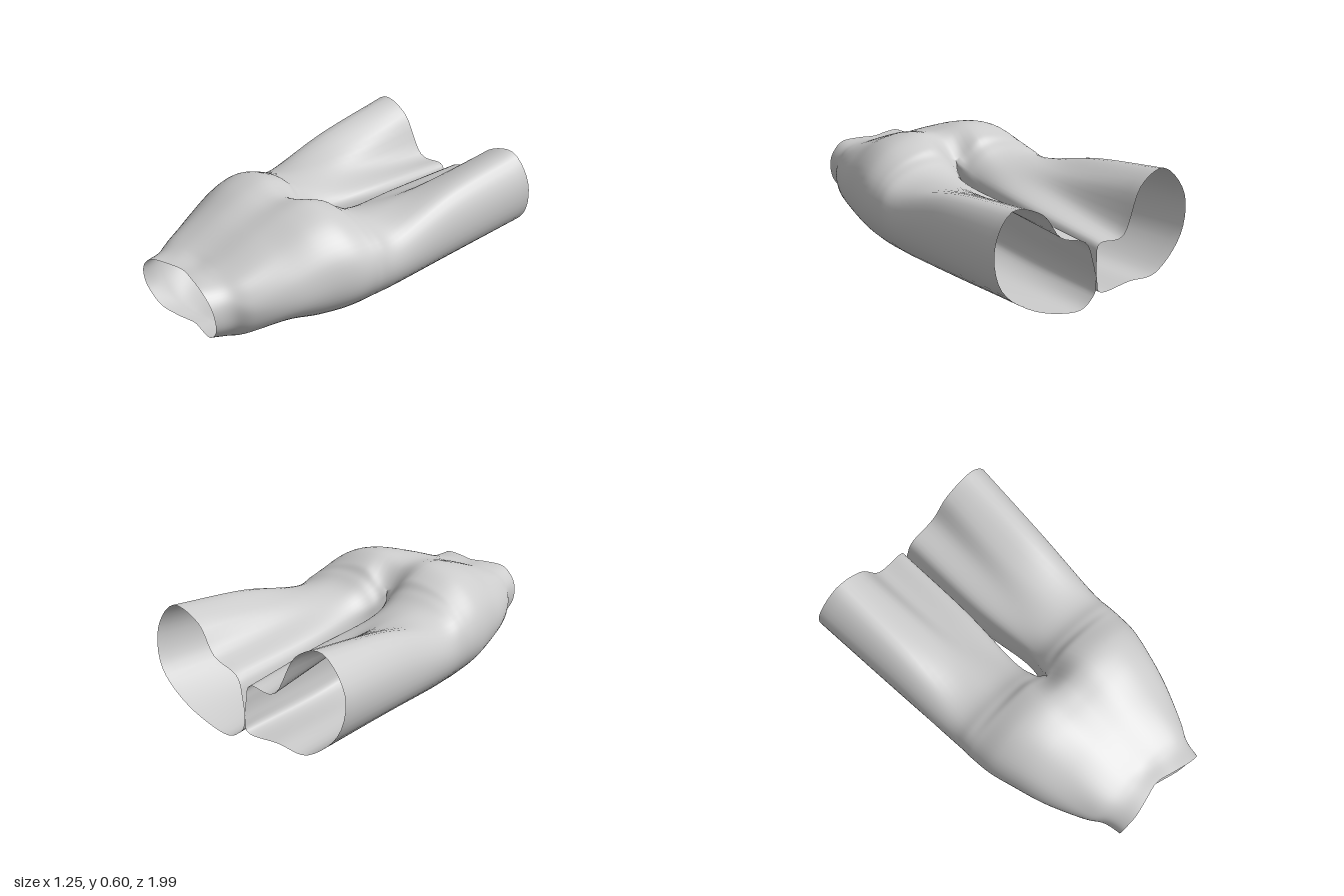
import * as THREE from 'three';
import { mergeGeometries, mergeVertices } from 'three/addons/utils/BufferGeometryUtils.js';

// Cross-sections of one half: z, bow or tilt, then 9 points from top centre over
// the outer side to bottom centre. Legs add 2 points up the inner wall.
const waistToCrotch = [
  { z: 1.0, bow: 1, p: [[0, .405], [.1, .407], [.2, .395], [.27, .33], [.29, .25], [.27, .17], [.2, .1], [.1, .072], [0, .065]] },
  { z: .9, bow: .7, p: [[0, .41], [.12, .415], [.23, .39], [.295, .33], [.31, .25], [.29, .16], [.22, .08], [.11, .05], [0, .042]] },
  { z: .8, bow: .3, p: [[0, .44], [.15, .44], [.28, .41], [.35, .33], [.37, .25], [.34, .15], [.25, .07], [.13, .035], [0, .035]] },
  { z: .6, p: [[0, .515], [.16, .52], [.31, .48], [.42, .39], [.46, .28], [.43, .18], [.32, .1], [.16, .065], [0, .06]] },
  { z: .42, p: [[0, .565], [.17, .585], [.34, .55], [.47, .44], [.515, .3], [.48, .17], [.36, .07], [.18, .05], [0, .055]] },
  { z: .28, p: [[0, .565], [.17, .605], [.36, .565], [.5, .45], [.55, .31], [.515, .17], [.37, .045], [.18, .04], [0, .07]] },
  { z: .16, p: [[0, .46], [.15, .56], [.35, .535], [.5, .44], [.56, .31], [.525, .17], [.37, .03], [.18, .05], [0, .1], [0, .2], [0, .33]] },
];
const groin = { z: .09, p: [[.035, .41], [.15, .505], [.34, .505], [.5, .43], [.56, .305], [.525, .165], [.37, .03], [.18, .045], [.05, .105], [.03, .19], [.028, .32]] };
const leftLeg = [
  groin,
  { z: -.06, p: [[.07, .37], [.16, .44], [.32, .468], [.49, .42], [.565, .3], [.53, .16], [.37, .03], [.18, .04], [.07, .11], [.052, .18], [.052, .28]] },
  { z: -.45, tilt: .03, p: [[.055, .355], [.19, .415], [.31, .49], [.49, .525], [.585, .39], [.56, .2], [.38, .045], [.17, .015], [.04, .06], [.008, .14], [.02, .25]] },
  { z: -.955, tilt: .08, p: [[.065, .34], [.22, .4], [.33, .54], [.51, .592], [.62, .44], [.59, .23], [.4, .08], [.14, .005], [.03, .05], [.003, .12], [.02, .23]] },
];
const rightLeg = [
  groin,
  { z: -.06, p: [[.05, .37], [.15, .44], [.32, .468], [.49, .42], [.565, .3], [.53, .16], [.37, .03], [.18, .04], [.06, .11], [.036, .18], [.036, .28]] },
  { z: -.45, tilt: .03, p: [[.03, .35], [.18, .385], [.29, .475], [.47, .53], [.585, .39], [.565, .2], [.39, .055], [.2, .05], [.04, .06], [.005, .14], [.007, .25]] },
  { z: -.955, tilt: .08, p: [[.03, .315], [.19, .32], [.31, .54], [.48, .602], [.62, .44], [.59, .23], [.41, .07], [.22, .07], [.03, .06], [.003, .13], [.004, .23]] },
];

const OUTER = 40, INNER = 15, STEPS = 8;
const CROTCH = waistToCrotch.length - 1;

const curve = (pts, closed) => new THREE.CatmullRomCurve3(pts, closed, 'catmullrom', 0.5);

// Resample one section into evenly numbered columns
function sampleSection({ z, tilt = 0, bow = 0, p }, isLeg) {
  // Bow pulls the waist back at its centre and underside; tilt slants the hems
  const pts = p.map(([x, y]) => new THREE.Vector3(x, y,
    z - tilt * (0.4 - y) - bow * (0.5 * (0.4 - y) ** 2 + 0.045 * Math.max(0, 1 - x / 0.2))));
  const out = [];
  if (isLeg) {
    const ring = curve(pts, true);
    for (let j = 0; j <= OUTER + INNER; j++) out.push(ring.getPoint((j / (OUTER + INNER)) % 1));
    return out;
  }
  // Mirror the half section so the surface runs smoothly over the centre line
  const half = pts.slice(0, 9);
  const mirrored = half.slice(1, 8).reverse().map(v => new THREE.Vector3(-v.x, v.y, v.z));
  const ring = curve([...half, ...mirrored], true);
  for (let j = 0; j <= OUTER; j++) out.push(ring.getPoint(j / OUTER / 2));
  // The crotch section also carries the seam between the legs
  if (pts.length > 9) {
    const seam = curve([pts[8], pts[9], pts[10], pts[0]], false);
    for (let j = 1; j <= INNER; j++) out.push(seam.getPoint(j / INNER));
  }
  return out;
}

// Join rows of points into quads, facing outward
function skin(rows, side) {
  const w = rows[0].length, pos = [], idx = [];
  rows.forEach(row => row.forEach(v => pos.push(v.x * side, v.y, v.z)));
  for (let i = 0; i < rows.length - 1; i++) {
    for (let j = 0; j < w - 1; j++) {
      const a = i * w + j, b = a + 1, c = a + w, d = c + 1;
      if (side > 0) idx.push(a, b, c, b, d, c);
      else idx.push(a, c, b, b, c, d);
    }
  }
  const g = new THREE.BufferGeometry();
  g.setAttribute('position', new THREE.Float32BufferAttribute(pos, 3));
  g.setIndex(idx);
  return g;
}

// One half of the trousers: outer cloth from waist to hem, inner cloth from crotch to hem
function halfTrousers(leg, side) {
  const sections = [
    ...waistToCrotch.map(s => sampleSection(s, false)),
    ...leg.map(s => sampleSection(s, true)),
  ];
  const loft = (keys, from, to) => {
    const paths = [];
    for (let j = from; j <= to; j++) paths.push(curve(keys.map(k => k[j]), false));
    const n = (keys.length - 1) * STEPS;
    return Array.from({ length: n + 1 }, (_, i) => paths.map(c => c.getPoint(i / n)));
  };
  const outer = loft(sections, 0, OUTER);
  for (let i = 0; i <= CROTCH * STEPS; i++) outer[i][0].x = outer[i][OUTER].x = 0;
  const inner = loft(sections.slice(CROTCH), OUTER, OUTER + INNER);
  // Shared edges of the two cloths follow the same line
  inner.forEach((row, i) => {
    row[0].copy(outer[i + CROTCH * STEPS][OUTER]);
    row[INNER].copy(outer[i + CROTCH * STEPS][0]);
  });
  return [skin(outer, side), skin(inner, side)];
}

export function createModel() {
  const group = new THREE.Group();
  group.name = 'trousers';
  const cloth = mergeVertices(mergeGeometries([
    ...halfTrousers(leftLeg, 1),
    ...halfTrousers(rightLeg, -1),
  ]), 1e-4);
  cloth.computeVertexNormals();
  const mesh = new THREE.Mesh(cloth, new THREE.MeshStandardMaterial({ color: 0xcccccc, side: THREE.DoubleSide }));
  mesh.name = 'trouserCloth';
  group.add(mesh);
  return group;
}
